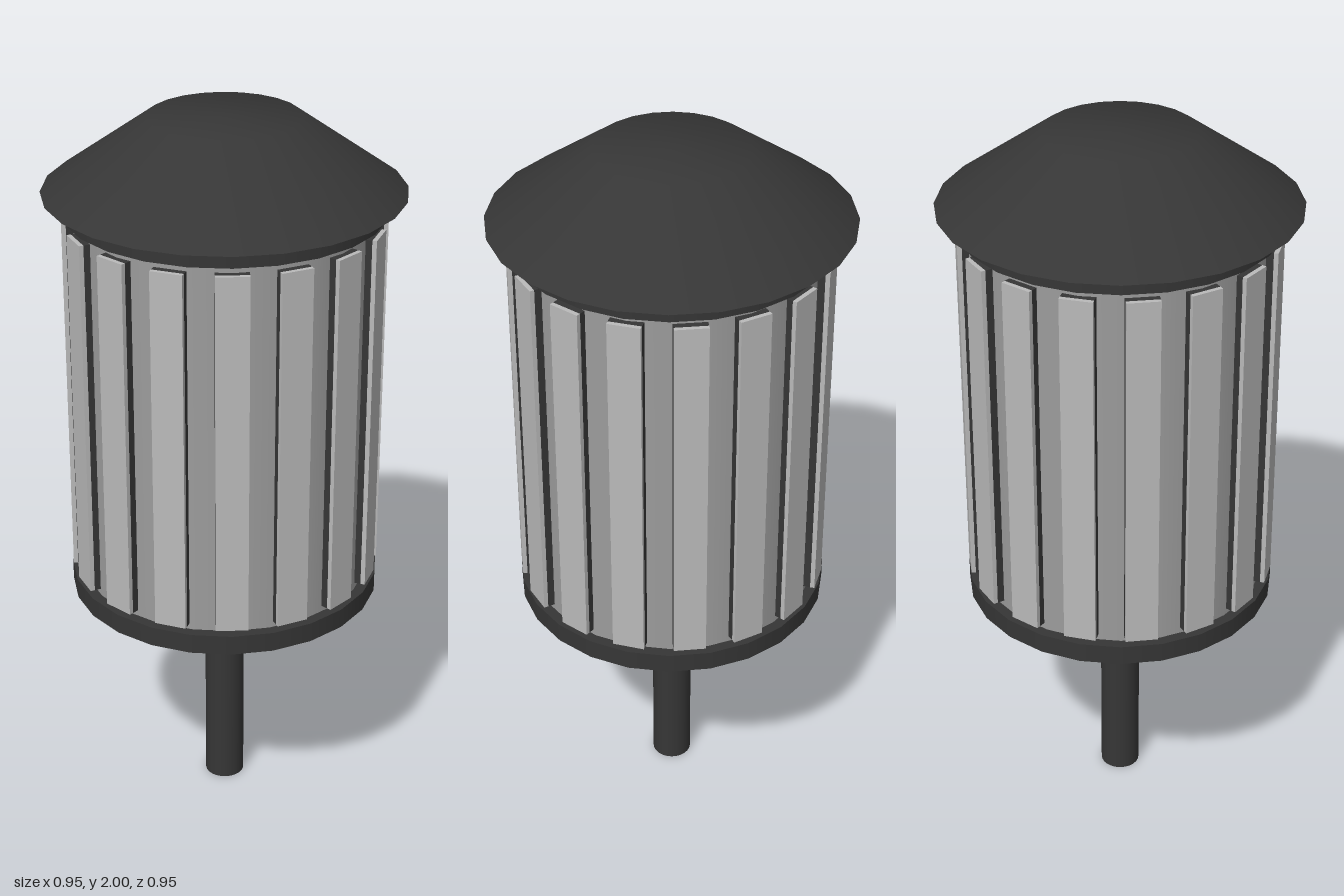
import * as THREE from 'three';

function material(name, color) {
  const m = new THREE.MeshStandardMaterial({ color });
  m.name = name;
  return m;
}

export function createModel() {
  const model = new THREE.Group();
  model.name = 'postLantern';
  const dark = material('darkMetal', 0x363636);
  const light = material('lightSlat', 0xbababa);
  const grey = material('greyCore', 0x9c9c9c);

  function add(name, geometry, mat, parent = model) {
    const mesh = new THREE.Mesh(geometry, mat);
    mesh.name = name;
    parent.add(mesh);
    return mesh;
  }

  // Upright cylinder between two heights
  function drum(name, radius, y0, y1, sides, mat) {
    const mesh = add(name, new THREE.CylinderGeometry(radius, radius, y1 - y0, sides), mat);
    mesh.position.y = (y0 + y1) / 2;
  }

  drum('post', 0.055, 0, 0.67, 24, dark);
  drum('basePlate', 0.425, 0.66, 0.715, 24, dark);
  drum('core', 0.396, 0.715, 1.757, 24, grey);
  drum('topRing', 0.425, 1.755, 1.806, 24, dark);

  // Smooth roof with a flat crown, and its underside
  const profile = [[0.475, 1.805], [0.2, 2], [0, 2]].map(([x, y]) => new THREE.Vector2(x, y));
  add('roof', new THREE.LatheGeometry(profile, 24), dark);
  const underside = add('roofUnderside', new THREE.CircleGeometry(0.475, 24), dark);
  underside.rotation.x = Math.PI / 2;
  underside.position.y = 1.805;

  // Ring of slats, each a pale face on a dark backing
  const slatCount = 16;
  const backing = new THREE.BoxGeometry(0.086, 1, 0.024);
  const face = new THREE.BoxGeometry(0.086, 1, 0.012);
  for (let i = 0; i < slatCount; i++) {
    const slat = new THREE.Group();
    slat.name = 'slat';
    slat.rotation.y = (i / slatCount) * Math.PI * 2;
    add('slatBacking', backing, dark, slat).position.set(0, 1.232, 0.398);
    add('slatFace', face, light, slat).position.set(0, 1.232, 0.416);
    model.add(slat);
  }

  return model;
}
